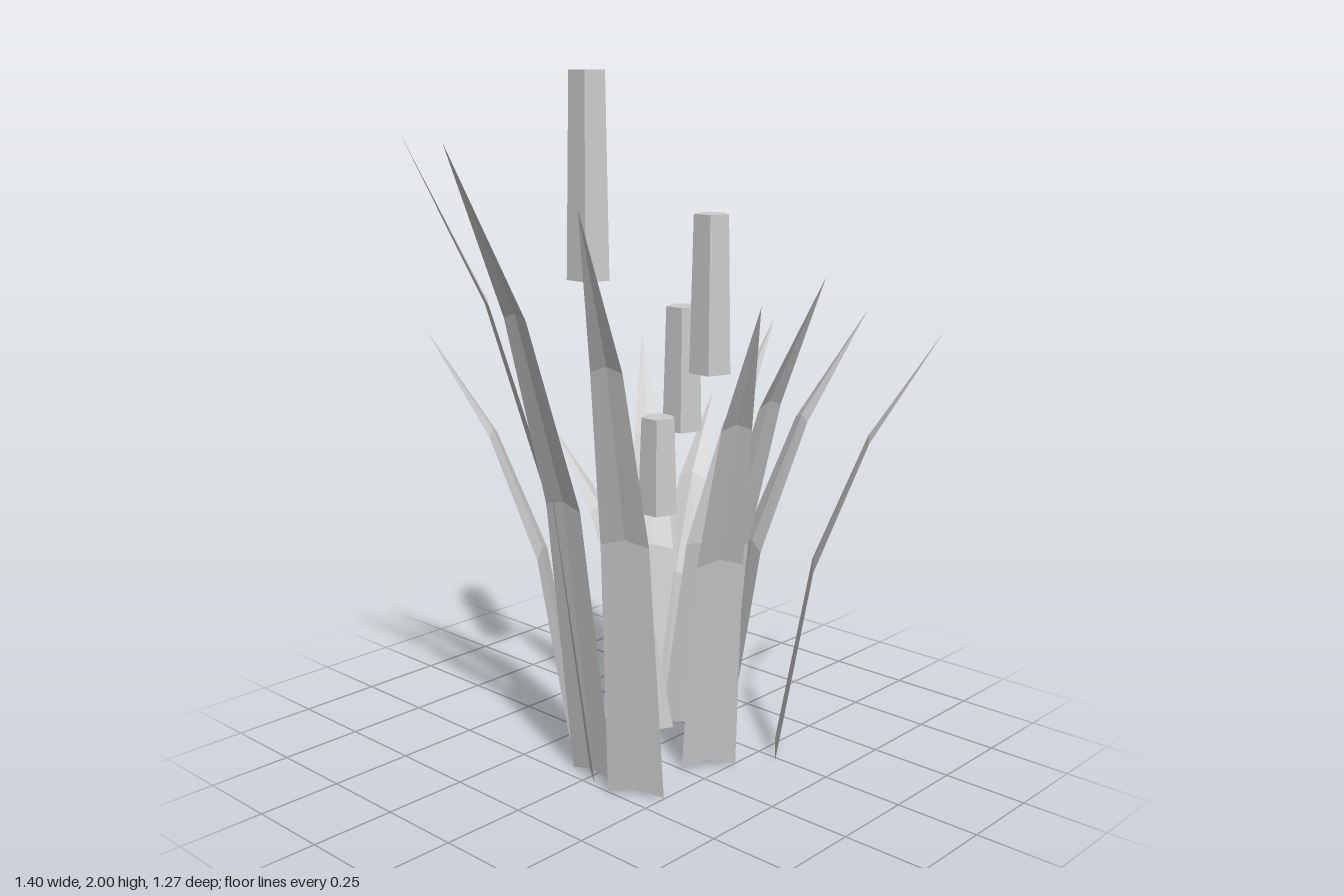
import * as THREE from 'three';

const reedGrey = new THREE.MeshStandardMaterial({ color: 0xcccccc, flatShading: true, side: THREE.DoubleSide });
reedGrey.name = 'reedGrey';

// Leaf cross-sections: [outward fraction, height fraction, half width, fold height]
const SECTIONS = [
  [0, 0, 0.082, 0.02],
  [0.22, 0.455, 0.067, 0.018],
  [0.55, 0.75, 0.042, 0.016],
];

// A folded blade of three bands that bends outward to a point
function leafGeometry([bx, bz], [tx, ty, tz]) {
  const dx = tx - bx, dz = tz - bz, len = Math.hypot(dx, dz);
  const px = -dz / len, pz = dx / len; // sideways direction
  const pos = [], index = [];
  for (const [out, up, half, fold] of SECTIONS) {
    for (const side of [-1, 0, 1]) {
      pos.push(
        bx + dx * out + px * half * side,
        ty * up + (side === 0 ? fold : 0),
        bz + dz * out + pz * half * side
      );
    }
  }
  pos.push(tx, ty, tz);
  const tip = SECTIONS.length * 3;
  for (let r = 0; r < SECTIONS.length; r++) {
    for (let c = 0; c < 2; c++) {
      const a = r * 3 + c, b = a + 1;
      if (r === SECTIONS.length - 1) index.push(a, tip, b);
      else index.push(a, a + 3, b, b, a + 3, b + 3);
    }
  }
  const indexed = new THREE.BufferGeometry();
  indexed.setAttribute('position', new THREE.Float32BufferAttribute(pos, 3));
  indexed.setIndex(index);
  const geometry = indexed.toNonIndexed();
  geometry.computeVertexNormals();
  return geometry;
}

// Leaves: [base x, z], [tip x, y, z]
const LEAVES = [
  [[0.115, 0.16], [0.08, 1.48, 0.575]],
  [[0.07, 0.205], [-0.17, 1.43, 0.565]],
  [[-0.21, 0.175], [-0.638, 1.69, 0.4]],
  [[-0.205, 0], [-0.7, 1.83, 0]],
  [[-0.195, -0.03], [-0.605, 1.845, -0.288]],
  [[-0.015, -0.27], [-0.26, 1.245, -0.635]],
  [[0.12, -0.05], [0.1, 0.91, -0.47]],
  [[0.21, -0.14], [0.48, 1.17, -0.45]],
  [[0.22, -0.11], [0.65, 0.975, -0.287]],
  [[0.22, -0.03], [0.7, 1.23, -0.08]],
  [[0.275, 0.068], [0.685, 1.3, 0.29]],
  [[0.29, 0.28], [0.567, 1.29, 0.633]],
];

// Seed heads: x, z, bottom, top
const HEADS = [
  [-0.206, 0, 1.45, 2],
  [0.115, 0.157, 1.17, 1.615],
  [0.21, -0.03, 0.96, 1.33],
  [0.12, -0.045, 0.72, 1.01],
];

export function createModel() {
  const model = new THREE.Group();
  model.name = 'reeds';

  const leaves = new THREE.Group();
  leaves.name = 'leaves';
  for (const [base, tip] of LEAVES) {
    const leaf = new THREE.Mesh(leafGeometry(base, tip), reedGrey);
    leaf.name = 'leaf';
    leaves.add(leaf);
  }

  // Five-sided, slightly tapered heads with a corner toward +x
  const heads = new THREE.Group();
  heads.name = 'seedHeads';
  for (const [x, z, bottom, top] of HEADS) {
    const geometry = new THREE.CylinderGeometry(0.051, 0.061, top - bottom, 5, 1, false, Math.PI / 2);
    const head = new THREE.Mesh(geometry, reedGrey);
    head.name = 'seedHead';
    head.position.set(x, (bottom + top) / 2, z);
    heads.add(head);
  }

  model.add(leaves, heads);
  return model;
}
